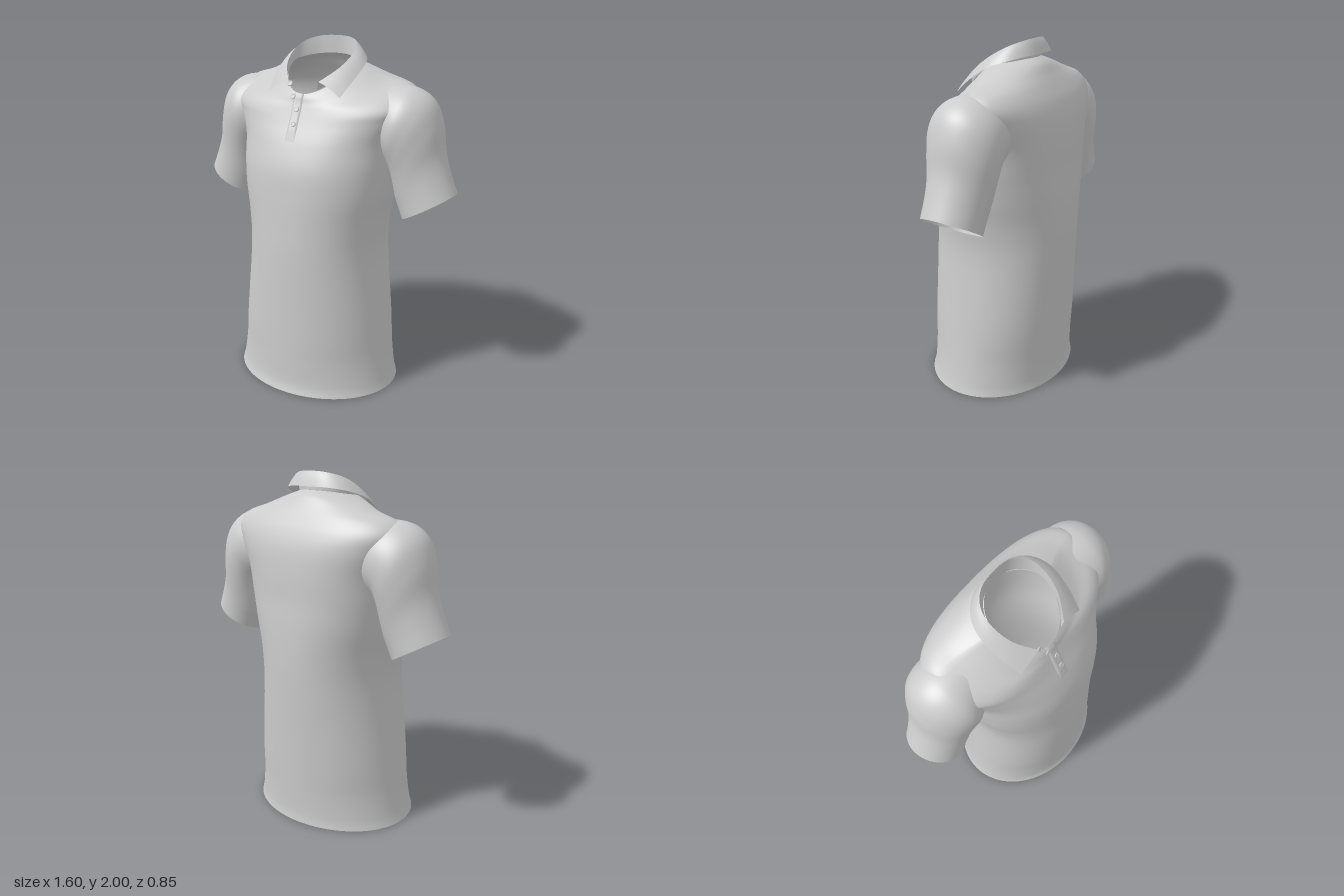
import * as THREE from 'three';

const fabric = new THREE.MeshStandardMaterial({ color: 0xcccccc, side: THREE.DoubleSide });

// Smooth surface from fn(u, v) -> [x, y, z], both in 0..1
function surface(name, fn, nu, nv, closed = false) {
  const pos = [], idx = [], cols = closed ? nu : nu + 1;
  for (let j = 0; j <= nv; j++)
    for (let i = 0; i < cols; i++) pos.push(...fn(i / nu, j / nv));
  for (let j = 0; j < nv; j++)
    for (let i = 0; i < nu; i++) {
      const k = (i + 1) % cols;
      const a = j * cols + i, b = j * cols + k, c = a + cols, d = b + cols;
      idx.push(a, b, c, b, d, c);
    }
  const g = new THREE.BufferGeometry();
  g.setAttribute('position', new THREE.Float32BufferAttribute(pos, 3));
  g.setIndex(idx);
  g.computeVertexNormals();
  const mesh = new THREE.Mesh(g, fabric);
  mesh.name = name;
  return mesh;
}

// Catmull-Rom blend of whole rows of numbers
function blend(rows, v) {
  const n = rows.length - 1, f = v * n, i = Math.min(Math.floor(f), n - 1), t = f - i;
  const at = k => rows[Math.max(0, Math.min(n, k))];
  return rows[0].map((_, c) => {
    const [a, b, d, e] = [at(i - 1)[c], at(i)[c], at(i + 1)[c], at(i + 2)[c]];
    return b + 0.5 * t * (d - a + t * (2 * a - 5 * b + 4 * d - e + t * (3 * (b - d) + e - a)));
  });
}

// Torso rings: half width, side z, front z, back z, side y, front y, back y, squareness
const TORSO = [
  [0.505, 0.01, 0.42, -0.39, 0, 0, 0, 2],
  [0.49, 0.01, 0.405, -0.385, 0.06, 0.06, 0.06, 2],
  [0.468, 0.005, 0.402, -0.39, 0.2, 0.2, 0.2, 2],
  [0.445, 0, 0.4, -0.4, 0.4, 0.4, 0.4, 2.1],
  [0.402, 0, 0.392, -0.42, 0.8, 0.8, 0.8, 2.1],
  [0.41, 0, 0.38, -0.425, 1.0, 1.0, 1.0, 2.1],
  [0.44, -0.02, 0.365, -0.42, 1.18, 1.18, 1.18, 2.2],
  [0.455, -0.05, 0.345, -0.41, 1.32, 1.32, 1.32, 2.3],
  [0.47, -0.08, 0.3, -0.405, 1.48, 1.45, 1.47, 2.4],
  [0.52, -0.1, 0.25, -0.39, 1.62, 1.555, 1.6, 2.5],
  [0.55, -0.11, 0.225, -0.36, 1.7, 1.61, 1.69, 2.5],
  [0.5, -0.11, 0.21, -0.32, 1.765, 1.645, 1.76, 2.4],
  [0.38, -0.09, 0.2, -0.28, 1.8, 1.67, 1.82, 2.2],
  [0.27, -0.05, 0.192, -0.245, 1.84, 1.695, 1.87, 2],
  [0.185, -0.02, 0.182, -0.2, 1.87, 1.715, 1.9, 1.85],
];

function onRing([w, zs, zf, zb, ys, yf, yb], c, s) {
  const k = Math.abs(s);
  return [w * c, ys + ((s > 0 ? yf : yb) - ys) * k, zs + ((s > 0 ? zf : zb) - zs) * k];
}

function torsoPoint(u, v) {
  const r = blend(TORSO, v), a = -u * Math.PI * 2;
  const p = x => Math.sign(x) * Math.abs(x) ** (2 / r[7]);
  return onRing(r, p(Math.cos(a)), p(Math.sin(a)));
}

// Point on the chest at a given x, raised by a small amount
function chestPoint(x, v, lift) {
  const r = blend(TORSO, v), c = x / r[0];
  const [px, py, pz] = onRing(r, c, (1 - Math.abs(c) ** r[7]) ** (1 / r[7]));
  return [px, py + lift * 0.5, pz + lift];
}

// Sleeve rings: outer x, y, inner x, y, front z, back z
const SLEEVE = [
  [0.42, 1.77, 0.4, 1.36, 0.1, -0.29],
  [0.55, 1.755, 0.43, 1.33, 0.13, -0.3],
  [0.645, 1.69, 0.445, 1.27, 0.12, -0.3],
  [0.695, 1.57, 0.455, 1.2, 0.1, -0.285],
  [0.72, 1.42, 0.47, 1.13, 0.085, -0.265],
  [0.755, 1.31, 0.49, 1.08, 0.08, -0.255],
  [0.8, 1.2, 0.51, 1.03, 0.08, -0.25],
];

function sleevePoint(side, u, v) {
  const [ox, oy, ix, iy, zf, zb] = blend(SLEEVE, v);
  const a = side * u * Math.PI * 2, c = Math.cos(a), s = Math.sin(a);
  return [
    side * ((ox + ix) / 2 + ((ox - ix) / 2) * c),
    (oy + iy) / 2 + ((oy - iy) / 2) * c,
    (zf + zb) / 2 + ((zf - zb) / 2) * s,
  ];
}

// Collar lines, listed from centre back to one front end and mirrored
const mirrored = half => [...half.slice(1).reverse().map(([x, y, z]) => [-x, y, z]), ...half];
const STAND = mirrored([[0, 1.9, -0.195], [0.1, 1.895, -0.17], [0.165, 1.88, -0.1],
  [0.182, 1.86, -0.02], [0.155, 1.795, 0.085], [0.085, 1.74, 0.165]]);
const FOLD = mirrored([[0, 2, -0.19], [0.1, 1.993, -0.177], [0.17, 1.967, -0.12],
  [0.19, 1.918, -0.03], [0.165, 1.852, 0.075], [0.095, 1.785, 0.172]]);
const LEAF = mirrored([[0, 1.92, -0.228], [0.12, 1.918, -0.215], [0.215, 1.9, -0.15],
  [0.258, 1.862, -0.045], [0.25, 1.787, 0.075], [0.225, 1.71, 0.172]]);

function between(from, to, bulge) {
  return (u, v) => {
    const a = blend(from, u), b = blend(to, u);
    const p = a.map((q, i) => q + (b[i] - q) * v);
    p[1] += bulge * Math.sin(v * Math.PI);
    return p;
  };
}

export function createModel() {
  const shirt = new THREE.Group();
  shirt.name = 'poloShirt';

  shirt.add(surface('torso', torsoPoint, 96, 112, true));
  for (const side of [1, -1])
    shirt.add(surface(side > 0 ? 'leftSleeve' : 'rightSleeve',
      (u, v) => sleevePoint(side, u, v), 56, 48, true));

  shirt.add(surface('collarStand', between(STAND, FOLD, 0), 60, 6));
  shirt.add(surface('collarLeaf', between(FOLD, LEAF, 0.008), 60, 8));

  // Button strip laid over the chest
  shirt.add(surface('placket',
    (u, v) => chestPoint(-0.048 + 0.06 * u, 0.585 + 0.415 * v,
      0.006 * Math.min(1, 6 * u, 6 * (1 - u), 10 * v)), 12, 40));

  // Buttons with raised rims
  const rim = new THREE.TorusGeometry(0.012, 0.004, 8, 20);
  const disc = new THREE.CylinderGeometry(0.012, 0.012, 0.005, 20).rotateX(Math.PI / 2);
  const spots = [[-0.085, 1.765, 0.17], [-0.05, 1.7, 0.199], [-0.012, 1.637, 0.225], [-0.012, 1.562, 0.259]];
  for (const spot of spots) {
    const button = new THREE.Group();
    button.name = 'button';
    button.add(new THREE.Mesh(rim, fabric), new THREE.Mesh(disc, fabric));
    button.position.set(...spot);
    button.rotation.x = -0.45;
    shirt.add(button);
  }
  return shirt;
}
